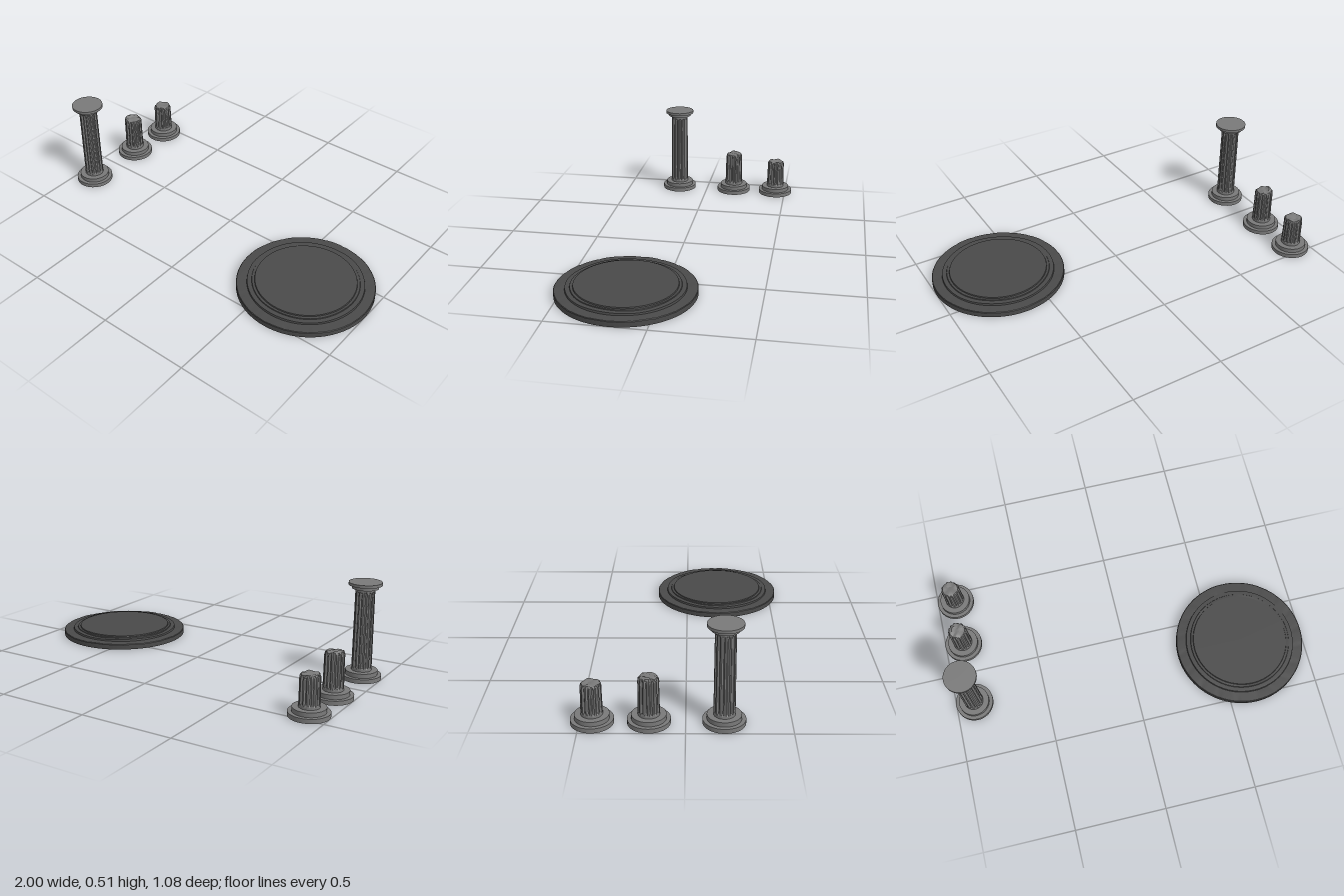
import * as THREE from 'three';
import { toCreasedNormals } from 'three/addons/utils/BufferGeometryUtils.js';

const columnStone = new THREE.MeshStandardMaterial({ color: 0x7a7a7a, side: THREE.DoubleSide });
const daisStone = new THREE.MeshStandardMaterial({ color: 0x4a4a4a, side: THREE.DoubleSide });

// Turned shell from [radius, y] pairs; reshape(v, angle, radius) may move each vertex.
function turned(name, profile, segments, material, reshape) {
  const geo = new THREE.LatheGeometry(profile.map(([r, y]) => new THREE.Vector2(r, y)), segments);
  if (reshape) {
    const pos = geo.attributes.position;
    const v = new THREE.Vector3();
    for (let i = 0; i < pos.count; i++) {
      v.fromBufferAttribute(pos, i);
      const step = Math.floor(i / profile.length) % segments;
      reshape(v, (step / segments) * Math.PI * 2, Math.hypot(v.x, v.z), step);
      pos.setXYZ(i, v.x, v.y, v.z);
    }
  }
  const mesh = new THREE.Mesh(toCreasedNormals(geo, 0.5), material);
  mesh.name = name;
  return mesh;
}

const FLUTES = 14;
const BASE_TOP = 0.046;
const SHAFT_R = 0.052;

// Fluted shaft; a broken one ends in a chipped, uneven crown given by breakHeight(x, z).
function shaft(top, breakHeight) {
  const profile = [];
  const fades = [0, 0.012, 0.02, 0.03];
  const span = top - BASE_TOP;
  for (const f of fades) profile.push([SHAFT_R, BASE_TOP + f]);
  for (let i = 1; i < 6; i++) profile.push([SHAFT_R - 0.002 * i / 6, BASE_TOP + 0.03 + (span - 0.06) * i / 6]);
  if (breakHeight) {
    profile.push([0.051, top - 0.022], [0.049, top - 0.008], [0.042, top], [0.028, top + 0.002], [0.014, top], [0, top]);
  } else {
    for (const f of [...fades].reverse()) profile.push([0.05, top - f]);
  }
  return turned('flutedShaft', profile, FLUTES * 6, columnStone, (v, a, r) => {
    // Flutes fade out at the foot and, on a whole shaft, at the neck
    if (r > 0.045) {
      let fade = THREE.MathUtils.smoothstep(v.y, BASE_TOP + 0.01, BASE_TOP + 0.022);
      if (!breakHeight) fade *= 1 - THREE.MathUtils.smoothstep(v.y, top - 0.022, top - 0.01);
      const wave = Math.max(0, Math.cos(a * FLUTES) + 0.35) / 1.35;
      const k = 1 - (0.007 * fade * Math.sqrt(wave)) / r;
      v.x *= k;
      v.z *= k;
    }
    // The fracture lifts and drops only the upper part
    if (breakHeight) {
      const w = THREE.MathUtils.smoothstep(v.y, top - 0.07, top);
      v.y += w * breakHeight(v.x, v.z);
    }
  });
}

// Round two-step plinth, hollow underneath
function base() {
  return turned('steppedBase', [
    [0.103, 0], [0.103, 0.023], [0.083, 0.023], [0.083, BASE_TOP], [0.05, BASE_TOP],
  ], 40, columnStone);
}

function capital() {
  return turned('capital', [
    [0.048, 0.48], [0.068, 0.48], [0.068, 0.498], [0.0855, 0.498], [0.0855, 0.513], [0, 0.513],
  ], 40, columnStone);
}

function column(name, z, top, breakHeight) {
  const group = new THREE.Group();
  group.name = name;
  group.add(base(), shaft(top, breakHeight));
  if (!breakHeight) group.add(capital());
  group.position.set(-0.897, 0, z);
  return group;
}

// Three-step round platform with worn edges and joints between the rim stones
function dais() {
  const mesh = turned('roundDais', [
    [0.36, 0], [0.36, 0.027], [0.357, 0.03], [0.325, 0.031], [0.305, 0.031], [0.303, 0.041],
    [0.288, 0.042], [0.28, 0.042], [0.278, 0.046], [0.265, 0.046], [0.263, 0.052], [0, 0.052],
  ], 120, daisStone, (v, a, r, step) => {
    if (r > 0.31 && v.y > 0.01) {
      v.y += 0.0012 * Math.sin(a * 7) * Math.cos(a * 3);
      if (step % 6 === 0) v.y -= 0.002;
    } else if (r > 0.27 && v.y > 0.035) {
      v.y += 0.0015 * Math.sin(a * 5 + 1);
    }
  });
  mesh.position.set(0.64, 0, 0.181);
  return mesh;
}

export function createModel() {
  const model = new THREE.Group();
  model.name = 'ruinedColumnsAndDais';
  model.add(
    column('wholeColumn', 0.181, 0.481),
    column('brokenColumnTall', -0.172, 0.238,
      (x, z) => 0.008 - 0.12 * Math.abs(z + 0.008) - 0.08 * x + 0.003 * Math.sin(x * 150 + z * 90)),
    column('brokenColumnShort', -0.439, 0.206,
      (x, z) => 0.002 + 0.05 * z + 0.004 * Math.sin(z * 110) * Math.cos(x * 90)),
    dais(),
  );
  return model;
}
